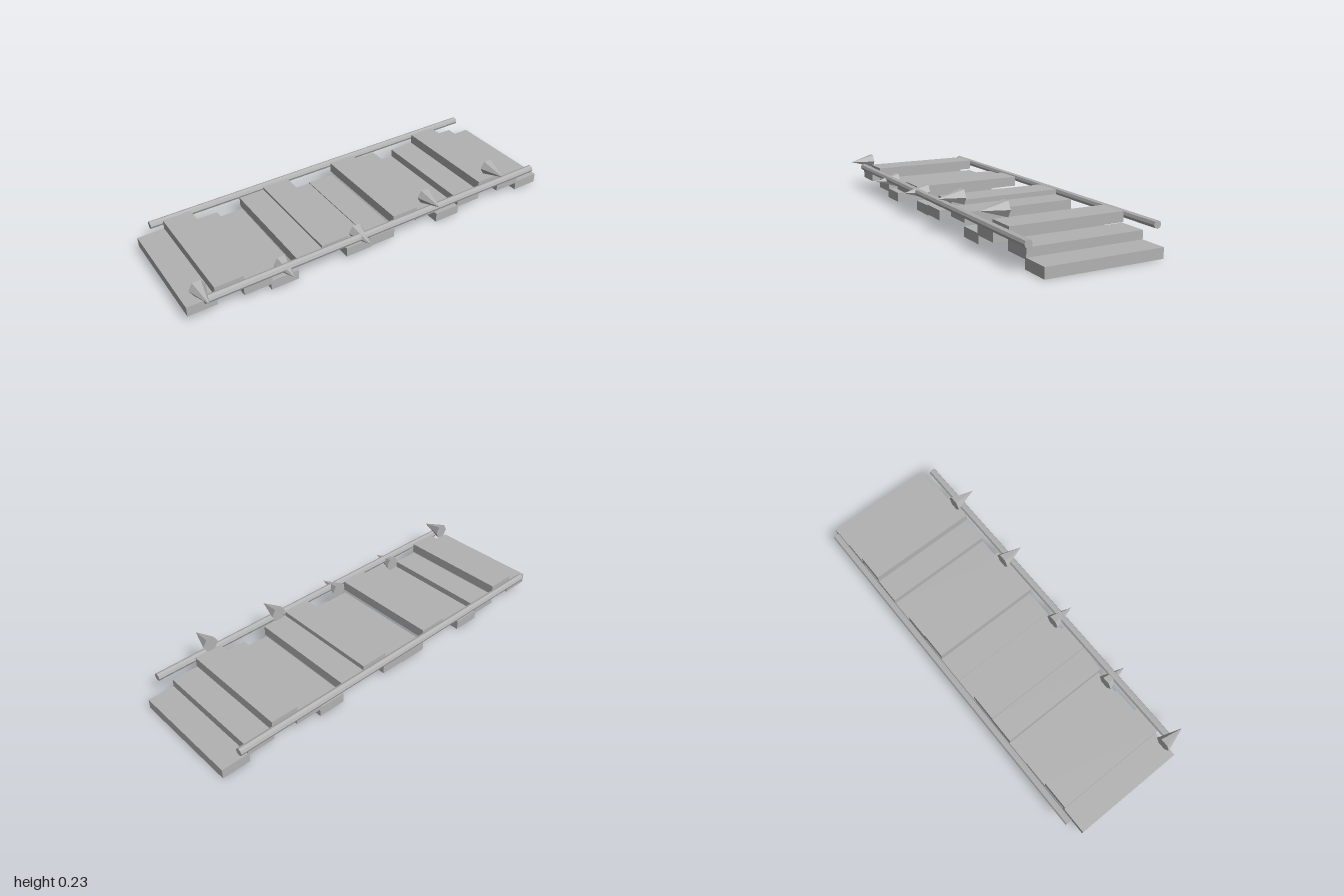
import * as THREE from 'three';

export function createModel() {
  const group = new THREE.Group();
  group.name = 'plankBridge';
  const grey = new THREE.MeshStandardMaterial({ color: 0xb2b2b2 });
  grey.name = 'plain grey';
  grey.flatShading = true;

  const add = (name, geometry, x, y, z) => {
    const mesh = new THREE.Mesh(geometry, grey);
    mesh.name = name;
    mesh.position.set(x, y, z);
    group.add(mesh);
  };

  // Uneven deck planks, given by the height of each underside
  const undersides = [0.047, 0.094, 0.035, 0.003, 0.073, 0.086, 0.014, 0.019,
    0.091, 0.067, 0.002, 0.042, 0.094, 0.041, 0];
  const width = 0.14, thickness = 0.049;
  const pitch = (2 - width) / (undersides.length - 1);
  const plank = new THREE.BoxGeometry(width, thickness, 0.568);
  undersides.forEach((y, i) =>
    add(`plank${i + 1}`, plank, -1 + width / 2 + i * pitch, y + thickness / 2, -0.026));

  // Long rails on both sides of the deck
  const rail = new THREE.CylinderGeometry(0.0185, 0.0185, 1.852, 8).rotateZ(Math.PI / 2);
  add('frontRail', rail, 0, 0.123, 0.284);
  add('backRail', rail, 0, 0.123, -0.336);

  // Six-sided spikes pointing forward
  const spike = new THREE.ConeGeometry(0.04, 0.122, 6).rotateY(Math.PI / 2).rotateX(Math.PI / 2);
  [0.155, 0.11, 0.122, 0.172, 0.2].forEach((y, i) =>
    add(`spike${i + 1}`, spike, -0.931 + i * 0.398, y, 0.293));

  return group;
}
